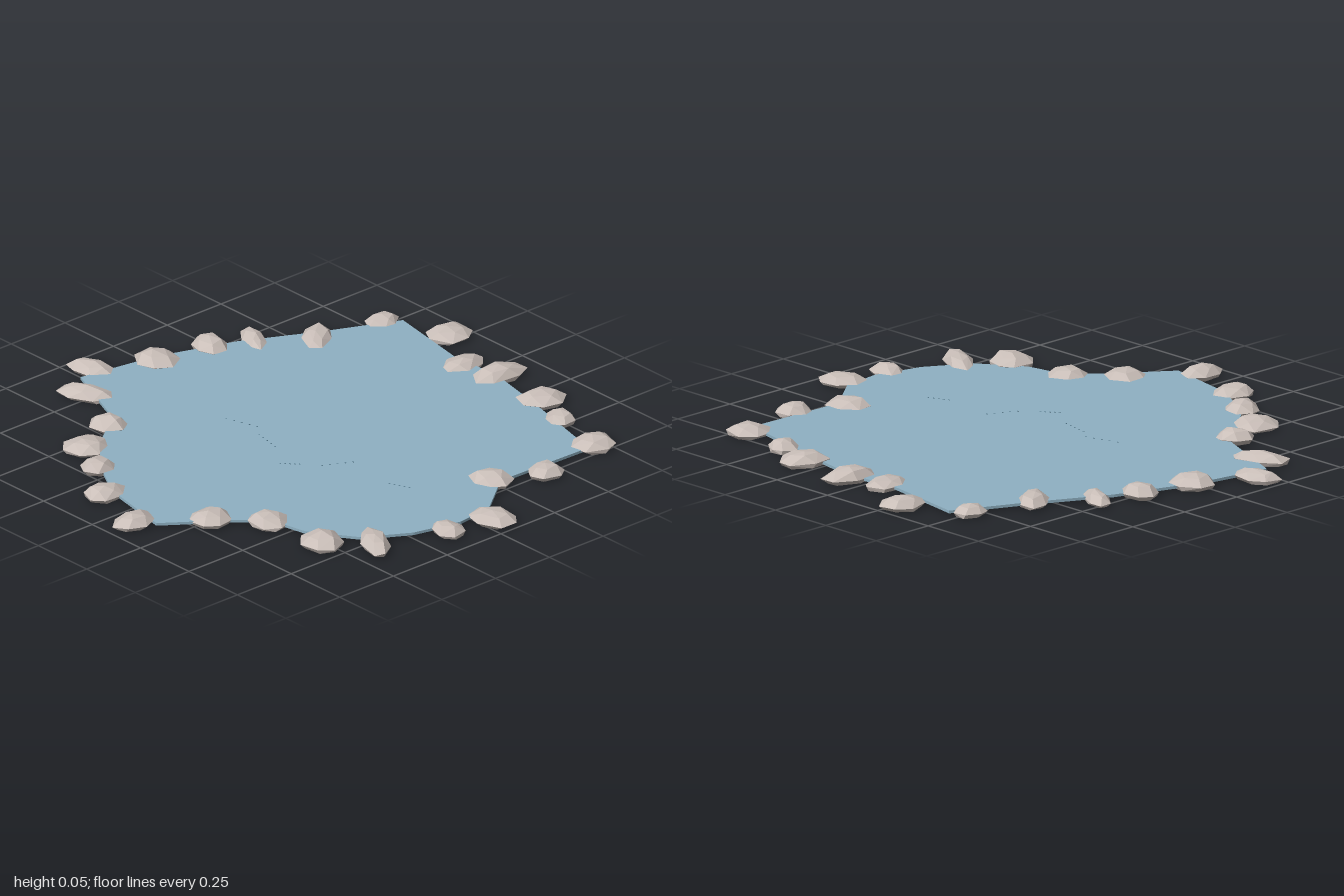
import * as THREE from 'three';
import { ConvexGeometry } from 'three/addons/geometries/ConvexGeometry.js';

// Small seeded generator for irregular stones
function seeded(seed) {
  let s = seed;
  return () => (s = (s * 16807) % 2147483647) / 2147483647;
}

// Shoreline of the pond, as x, z
const SHORE = [
  [-0.46, -0.86], [-0.13, -0.8], [0.08, -0.81], [0.32, -0.76], [0.72, -0.66], [0.71, -0.26],
  [0.84, -0.09], [0.86, 0.06], [0.815, 0.24], [0.72, 0.4], [0.56, 0.51], [0.41, 0.54],
  [0.32, 0.64], [0.165, 0.85], [-0.13, 0.79], [-0.32, 0.68], [-0.46, 0.54], [-0.56, 0.4],
  [-0.87, 0.27], [-0.82, -0.03], [-0.72, -0.32], [-0.585, -0.585],
];

// Stones: x, z, half length, half width, turn
const STONES = [
  [-0.505, -0.805, 0.07, 0.055, 1.4], [-0.28, -0.91, 0.085, 0.075, 1.5],
  [-0.07, -0.785, 0.095, 0.062, 1.4], [0.075, -0.82, 0.108, 0.066, 1.7],
  [0.32, -0.805, 0.092, 0.075, 1.9], [0.48, -0.745, 0.065, 0.056, 0.2],
  [0.7, -0.7, 0.085, 0.078, 1.2], [0.755, -0.425, 0.07, 0.062, 1.5],
  [0.677, -0.243, 0.085, 0.07, -0.4], [0.905, -0.052, 0.092, 0.077, -0.2],
  [0.87, 0.13, 0.07, 0.056, 0.1], [0.78, 0.385, 0.115, 0.052, 0.55],
  [0.65, 0.516, 0.088, 0.082, 0.6], [0.405, 0.542, 0.077, 0.073, 0.3],
  [0.255, 0.68, 0.08, 0.077, 0.9], [0.096, 0.893, 0.09, 0.06, 1.5],
  [-0.14, 0.817, 0.082, 0.07, 1.4], [-0.307, 0.697, 0.068, 0.063, 1.0],
  [-0.457, 0.613, 0.092, 0.082, 1.3], [-0.53, 0.447, 0.074, 0.058, -0.6],
  [-0.767, 0.34, 0.108, 0.058, -0.45], [-0.905, 0.19, 0.094, 0.062, -0.2],
  [-0.805, -0.02, 0.09, 0.078, 0], [-0.76, -0.232, 0.08, 0.065, 0.1],
  [-0.7, -0.382, 0.1, 0.046, 0.5], [-0.56, -0.553, 0.115, 0.056, 0.8],
];

// Faint ripple marks: start x, z, end x, z
const RIPPLES = [
  [-0.29, 0.115, -0.17, 0.08], [-0.12, 0.115, -0.01, 0.14], [0.1, 0.215, 0.15, 0.17],
  [0.21, 0.12, 0.26, 0.02], [0.47, 0.04, 0.54, 0.01],
];

// Flat-bottomed faceted stone of unit radius and unit height
function stoneGeometry(rand) {
  const points = [];
  const rings = [[0, 0.84, 7], [0.32, 1, 7], [0.82, 0.58, 5]]; // height, radius, sides
  const start = rand() * 0.9;
  for (const [y, radius, sides] of rings) {
    for (let i = 0; i < sides; i++) {
      const a = start + ((i + (rand() - 0.5) * 0.35) / sides) * Math.PI * 2;
      const r = radius * (0.92 + rand() * 0.16);
      const lift = y === 0 ? 0 : (rand() - 0.5) * 0.16;
      points.push(new THREE.Vector3(Math.cos(a) * r, y + lift, Math.sin(a) * r));
    }
  }
  points.push(new THREE.Vector3((rand() - 0.5) * 0.3, 1, (rand() - 0.5) * 0.3));
  return new ConvexGeometry(points);
}

export function createModel() {
  const model = new THREE.Group();
  model.name = 'pond';
  const waterBlue = new THREE.MeshStandardMaterial({ color: 0x8fb1c3, flatShading: true });
  waterBlue.name = 'waterBlue';
  const stoneGrey = new THREE.MeshStandardMaterial({ color: 0xc9beb8, flatShading: true });
  stoneGrey.name = 'stoneGrey';
  const rippleBlue = new THREE.MeshStandardMaterial({ color: 0x4f7386 });
  rippleBlue.name = 'rippleBlue';

  // Thin slab of water
  const shape = new THREE.Shape(SHORE.map(([x, z]) => new THREE.Vector2(x, -z)));
  const slab = new THREE.ExtrudeGeometry(shape, { depth: 0.01, bevelEnabled: false });
  slab.rotateX(-Math.PI / 2);
  const water = new THREE.Mesh(slab, waterBlue);
  water.name = 'water';
  water.position.y = 0.006;
  model.add(water);

  // Ring of stones along the shore
  const rand = seeded(4217);
  const stones = new THREE.Group();
  stones.name = 'shoreStones';
  STONES.forEach(([x, z, length, width, turn], i) => {
    const stone = new THREE.Mesh(stoneGeometry(rand), stoneGrey);
    stone.name = `stone${i + 1}`;
    stone.position.set(x, 0, z);
    stone.scale.set(length, 0.038 + rand() * 0.014, width);
    stone.rotation.y = -turn;
    stones.add(stone);
  });
  model.add(stones);

  // Dotted ripple marks on the surface
  const ripples = new THREE.Group();
  ripples.name = 'ripples';
  const dot = new THREE.BoxGeometry(0.006, 0.001, 0.004);
  for (const [x0, z0, x1, z1] of RIPPLES) {
    for (let i = 0; i < 5; i++) {
      const mark = new THREE.Mesh(dot, rippleBlue);
      mark.name = 'rippleMark';
      mark.position.set(x0 + ((x1 - x0) * i) / 4, 0.0163, z0 + ((z1 - z0) * i) / 4);
      ripples.add(mark);
    }
  }
  model.add(ripples);
  return model;
}
